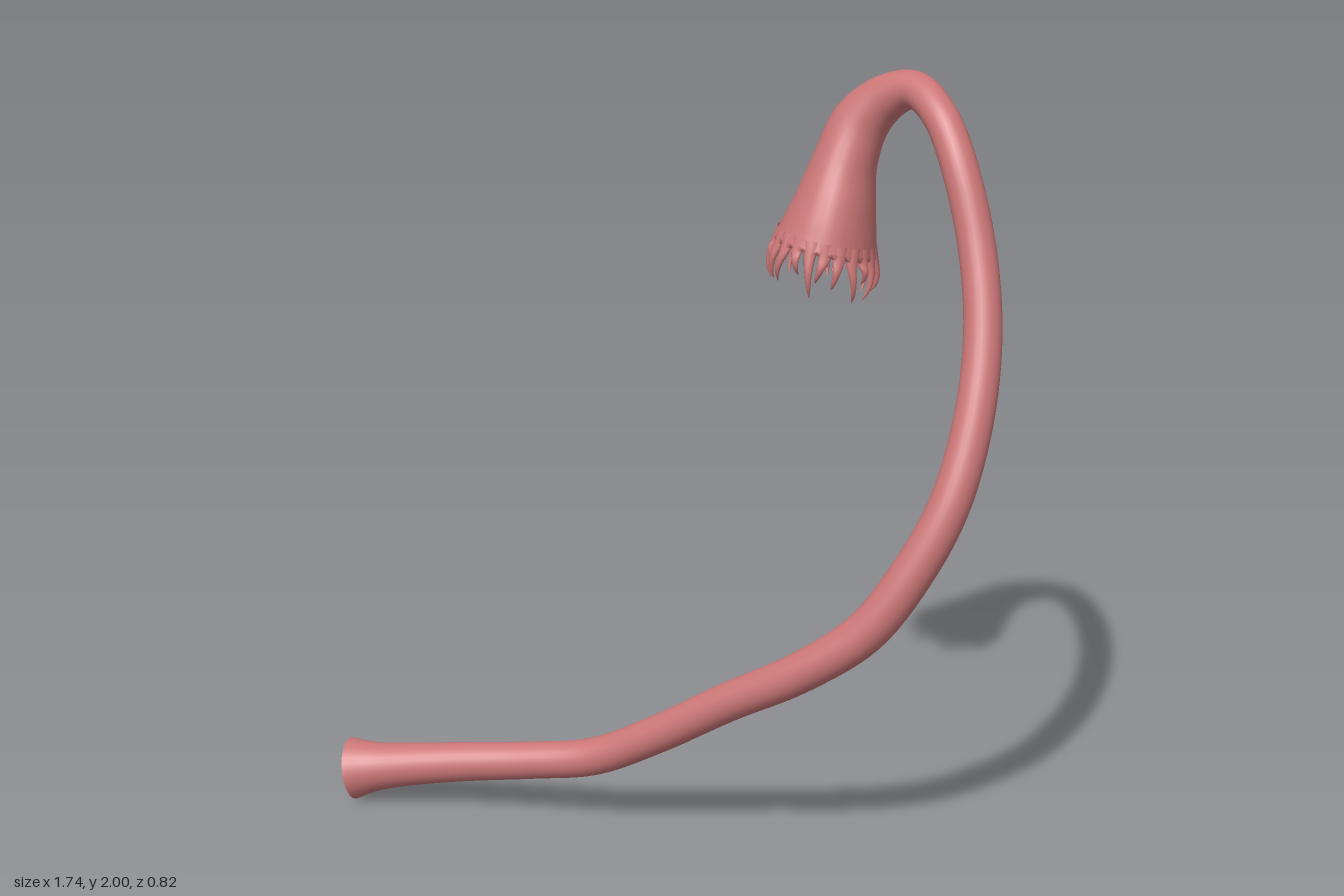
import * as THREE from 'three';

const material = new THREE.MeshStandardMaterial({ color: 0xcc7777, side: THREE.DoubleSide });

// Sweeps an elliptical section along rows of [x, y, z, radiusU, radiusV].
// The U axis is carried back from the far end, where it points along endU.
function sweep(rows, steps, sides, endU) {
  const path = new THREE.CatmullRomCurve3(rows.map(r => new THREE.Vector3(r[0], r[1], r[2])));
  const size = new THREE.CatmullRomCurve3(rows.map(r => new THREE.Vector3(r[3], r[4], 0)), false, 'catmullrom', 0.5);
  const position = [], index = [], rings = [];
  const u = endU.clone();
  for (let i = steps; i >= 0; i--) {
    const t = path.getTangent(i / steps);
    u.addScaledVector(t, -u.dot(t)).normalize();
    rings[i] = { c: path.getPoint(i / steps), s: size.getPoint(i / steps), u: u.clone(), v: t.clone().cross(u), t };
  }
  rings.forEach(({ c, s, u, v }, i) => {
    for (let j = 0; j < sides; j++) {
      const a = (j / sides) * Math.PI * 2;
      const p = c.clone().addScaledVector(u, Math.cos(a) * s.x).addScaledVector(v, Math.sin(a) * s.y);
      position.push(p.x, p.y, p.z);
      if (i === steps) continue;
      const k = i * sides + j, n = i * sides + (j + 1) % sides;
      index.push(k, n, k + sides, n, n + sides, k + sides);
    }
  });
  const geometry = new THREE.BufferGeometry();
  geometry.setAttribute('position', new THREE.Float32BufferAttribute(position, 3));
  geometry.setIndex(index);
  geometry.computeVertexNormals();
  return { geometry, end: rings[steps] };
}

function addMesh(parent, name, geometry) {
  const mesh = new THREE.Mesh(geometry, material);
  mesh.name = name;
  parent.add(mesh);
}

export function createModel() {
  const model = new THREE.Group();
  model.name = 'flaredTube';

  // Long curved duct, flared at its open foot and widening into a bell
  const duct = [
    [-0.86, 0.085, 0.128, 0.084, 0.084],
    [-0.79, 0.098, 0.132, 0.066, 0.066],
    [-0.70, 0.113, 0.136, 0.058, 0.058],
    [-0.55, 0.135, 0.142, 0.053, 0.053],
    [-0.35, 0.162, 0.156, 0.050, 0.050],
    [-0.18, 0.197, 0.180, 0.050, 0.050],
    [0.00, 0.295, 0.228, 0.050, 0.050],
    [0.20, 0.428, 0.288, 0.051, 0.051],
    [0.40, 0.550, 0.342, 0.053, 0.053],
    [0.56, 0.675, 0.358, 0.055, 0.055],
    [0.67, 0.830, 0.342, 0.055, 0.055],
    [0.755, 1.00, 0.302, 0.053, 0.053],
    [0.803, 1.20, 0.222, 0.051, 0.051],
    [0.813, 1.40, 0.130, 0.049, 0.049],
    [0.785, 1.60, 0.042, 0.048, 0.048],
    [0.725, 1.80, -0.035, 0.047, 0.047],
    [0.668, 1.905, -0.105, 0.046, 0.046],
    [0.595, 1.950, -0.190, 0.049, 0.049],
    [0.515, 1.915, -0.238, 0.062, 0.062],
    [0.450, 1.845, -0.254, 0.076, 0.078],
    [0.412, 1.740, -0.250, 0.086, 0.110],
    [0.388, 1.620, -0.235, 0.112, 0.150],
    [0.370, 1.530, -0.225, 0.136, 0.172],
  ];
  const { geometry, end } = sweep(duct, 132, 28, new THREE.Vector3(1, 0, 0));
  addMesh(model, 'duct', geometry);

  // Point on the bell mouth at an angle, scaled inwards and shifted along the axis
  const rimPoint = (angle, scale, shift) => end.c.clone()
    .addScaledVector(end.u, Math.cos(angle) * end.s.x * scale)
    .addScaledVector(end.v, Math.sin(angle) * end.s.y * scale)
    .addScaledVector(end.t, shift);

  // Rim: scalloped edge rolled inwards
  const count = 22, sides = count * 6;
  const profile = [[1, 0], [1.01, 0.012], [0.97, 0.02], [0.9, 0.012], [0.86, -0.015]];
  const position = [], index = [];
  profile.forEach(([scale, shift], i) => {
    for (let j = 0; j < sides; j++) {
      const a = (j / sides) * Math.PI * 2;
      const scallop = i > 0 && i < 4 ? 0.009 * Math.cos(a * count) : 0;
      position.push(...rimPoint(a, scale, shift + scallop).toArray());
      if (i === profile.length - 1) continue;
      const k = i * sides + j, n = i * sides + (j + 1) % sides;
      index.push(k, n, k + sides, n, n + sides, k + sides);
    }
  });
  const rim = new THREE.BufferGeometry();
  rim.setAttribute('position', new THREE.Float32BufferAttribute(position, 3));
  rim.setIndex(index);
  rim.computeVertexNormals();
  addMesh(model, 'bellRim', rim);

  // Fringe: curved, tapering fingers hanging from the rim
  const fringe = new THREE.Group();
  fringe.name = 'fringe';
  model.add(fringe);
  const down = new THREE.Vector3(-0.12, -1, 0.02).normalize();
  for (let k = 0; k < count; k++) {
    const a = (k / count) * Math.PI * 2;
    const out = rimPoint(a, 1, 0).sub(end.c).normalize();
    const side = end.t.clone().cross(out);
    const length = 0.1 + 0.028 * Math.sin(k * 2.4);
    const sway = 0.014 * Math.sin(k * 1.7);
    const root = rimPoint(a, 0.95, 0);
    const row = (drop, outward, sideways, rv, ru) => [
      ...root.clone().addScaledVector(down, drop).addScaledVector(out, outward)
        .addScaledVector(side, sideways).toArray(), ru, rv];
    const finger = sweep([
      row(-0.02, -0.004, 0, 0.021, 0.008),
      row(0.02, 0.006, 0, 0.016, 0.009),
      row(length * 0.5, 0.016, sway * 0.5, 0.010, 0.008),
      row(length * 0.8, 0.013, sway, 0.006, 0.005),
      row(length, 0.002, sway * 1.3, 0.001, 0.001),
    ], 12, 8, out);
    addMesh(fringe, 'finger', finger.geometry);
  }
  return model;
}
